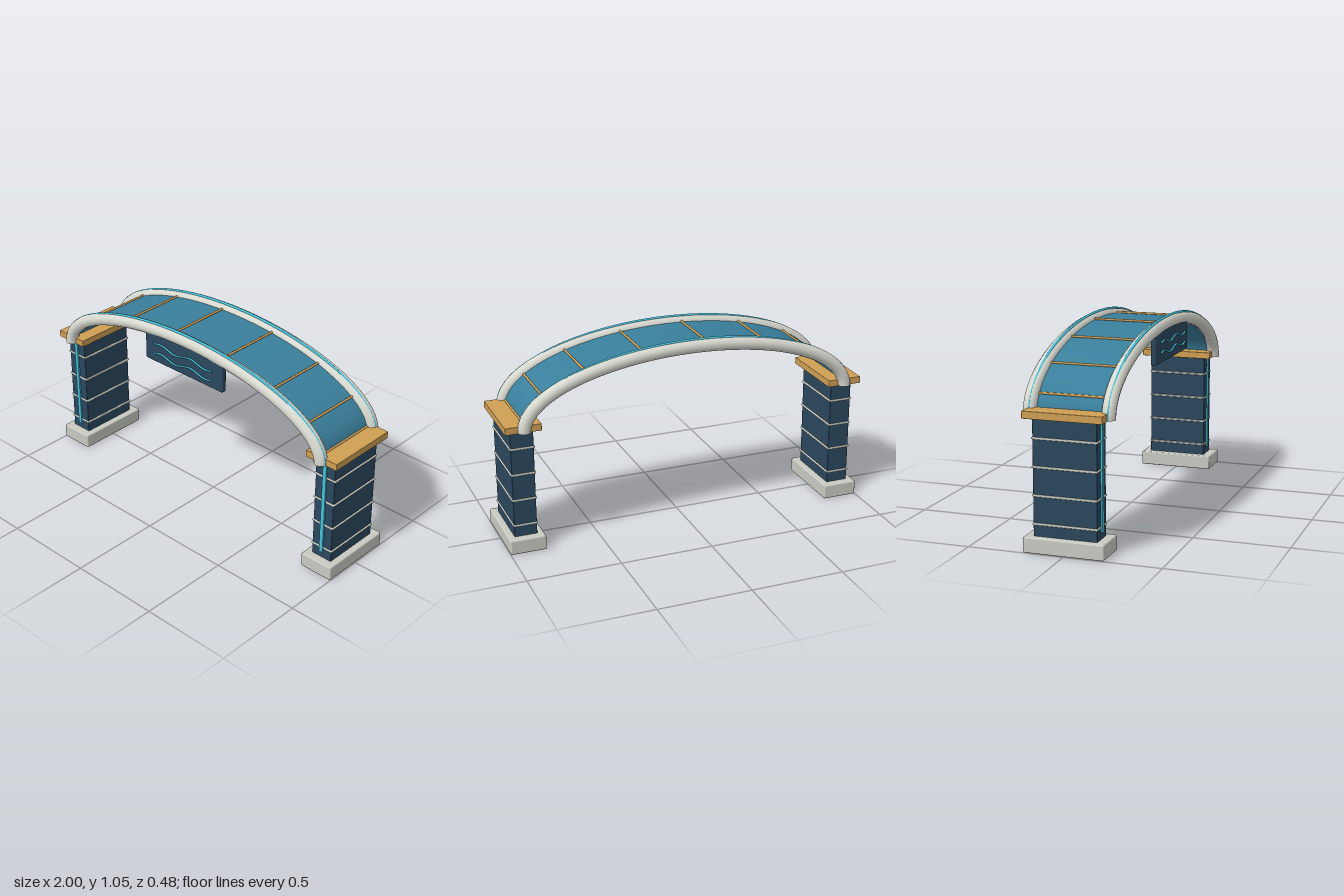
import * as THREE from 'three';
import { RoundedBoxGeometry } from 'three/addons/geometries/RoundedBoxGeometry.js';

const mat = (color, side = THREE.FrontSide) => new THREE.MeshStandardMaterial({ color, side });
const stone = mat(0xc8cbc2), navy = mat(0x2b475e), wood = mat(0xd0a055);
const cyan = mat(0x45c0d8), teal = mat(0x3a7f9c), tubePaint = mat(0xd8d9d0);

const SPRING = 0.67; // height where the arch starts
const arcPoint = (a, b, t, z = 0) =>
  new THREE.Vector3(a * Math.cos(t), SPRING + b * Math.sin(t), z);

// Smooth half-ellipse curve
class ArchCurve extends THREE.Curve {
  constructor(a, b, z) {
    super();
    Object.assign(this, { a, b, z });
  }
  getPoint(u, target = new THREE.Vector3()) {
    return target.copy(arcPoint(this.a, this.b, Math.PI * u, this.z));
  }
}

function add(parent, name, geometry, material, x = 0, y = 0, z = 0) {
  const mesh = new THREE.Mesh(geometry, material);
  mesh.name = name;
  mesh.position.set(x, y, z);
  parent.add(mesh);
  return mesh;
}

const block = (w, h, d, r) => new RoundedBoxGeometry(w, h, d, 2, r);

function createPillar(side) {
  const g = new THREE.Group();
  g.name = side > 0 ? 'leftPillar' : 'rightPillar';
  g.position.x = side * 0.904;
  add(g, 'base', block(0.192, 0.08, 0.42, 0.008), stone, 0, 0.04);
  add(g, 'shaft', block(0.122, 0.6, 0.33, 0.004), navy, 0, 0.375);
  add(g, 'cap', block(0.192, 0.038, 0.41, 0.003), wood, 0, 0.686);
  for (let i = 1; i <= 4; i++) {
    add(g, 'band', block(0.134, 0.012, 0.338, 0.005), stone, 0, 0.142 * i);
  }
  add(g, 'lightStrip', new THREE.BoxGeometry(0.022, 0.555, 0.012), cyan, 0, 0.393, 0.168);
  return g;
}

function createArchRail(side) {
  const g = new THREE.Group();
  g.name = side > 0 ? 'frontRail' : 'backRail';
  const z = side * 0.2015, r = 0.035;
  add(g, 'railTube', new THREE.TubeGeometry(new ArchCurve(0.9, 0.335, z), 96, r, 12), tubePaint);
  // Discs closing the tube ends
  for (const s of [-1, 1]) {
    add(g, 'railEnd', new THREE.CircleGeometry(r, 12), tubePaint, s * 0.9, SPRING, z)
      .rotation.x = Math.PI / 2;
  }
  // Light line that emerges along the crown
  add(g, 'railLight',
    new THREE.TubeGeometry(new ArchCurve(0.927, 0.369, z + 0.004), 96, 0.008, 8), cyan);
  return g;
}

function createDeck() {
  const g = new THREE.Group();
  g.name = 'canopy';
  // Thin curved panel between the rails
  const shape = new THREE.Shape();
  shape.absellipse(0, SPRING, 0.9, 0.345, 0, Math.PI, false);
  shape.lineTo(-0.889, SPRING);
  shape.absellipse(0, SPRING, 0.889, 0.334, Math.PI, 0, true);
  add(g, 'canopyPanel', new THREE.ExtrudeGeometry(shape, {
    depth: 0.36, bevelEnabled: false, curveSegments: 48,
  }), teal, 0, 0, -0.18);
  // Evenly spaced cross ribs
  for (let i = 0; i < 8; i++) {
    const p = arcPoint(0.9, 0.35, THREE.MathUtils.degToRad(6.2 + 22.5 * i));
    add(g, 'rib', new THREE.CylinderGeometry(0.006, 0.006, 0.338, 10), wood, p.x, p.y, 0)
      .rotation.x = Math.PI / 2;
  }
  return g;
}

function createSign() {
  const g = new THREE.Group();
  g.name = 'sign';
  add(g, 'signBoard', block(0.548, 0.165, 0.031, 0.008), navy, 0, 0.9025, 0.2155);
  // Two wavy light lines
  for (const y of [0.925, 0.87]) {
    const points = [];
    for (let i = 0; i <= 32; i++) {
      const u = i / 32;
      points.push(new THREE.Vector3(-0.21 + 0.42 * u, y + 0.011 * Math.sin(u * Math.PI * 4), 0.2355));
    }
    add(g, 'wave', new THREE.TubeGeometry(new THREE.CatmullRomCurve3(points), 64, 0.005, 8), cyan);
  }
  return g;
}

export function createModel() {
  const model = new THREE.Group();
  model.name = 'archway';
  for (const side of [-1, 1]) model.add(createPillar(side), createArchRail(side));
  model.add(createDeck(), createSign());
  for (const part of model.children) part.position.z = -0.002;
  return model;
}
